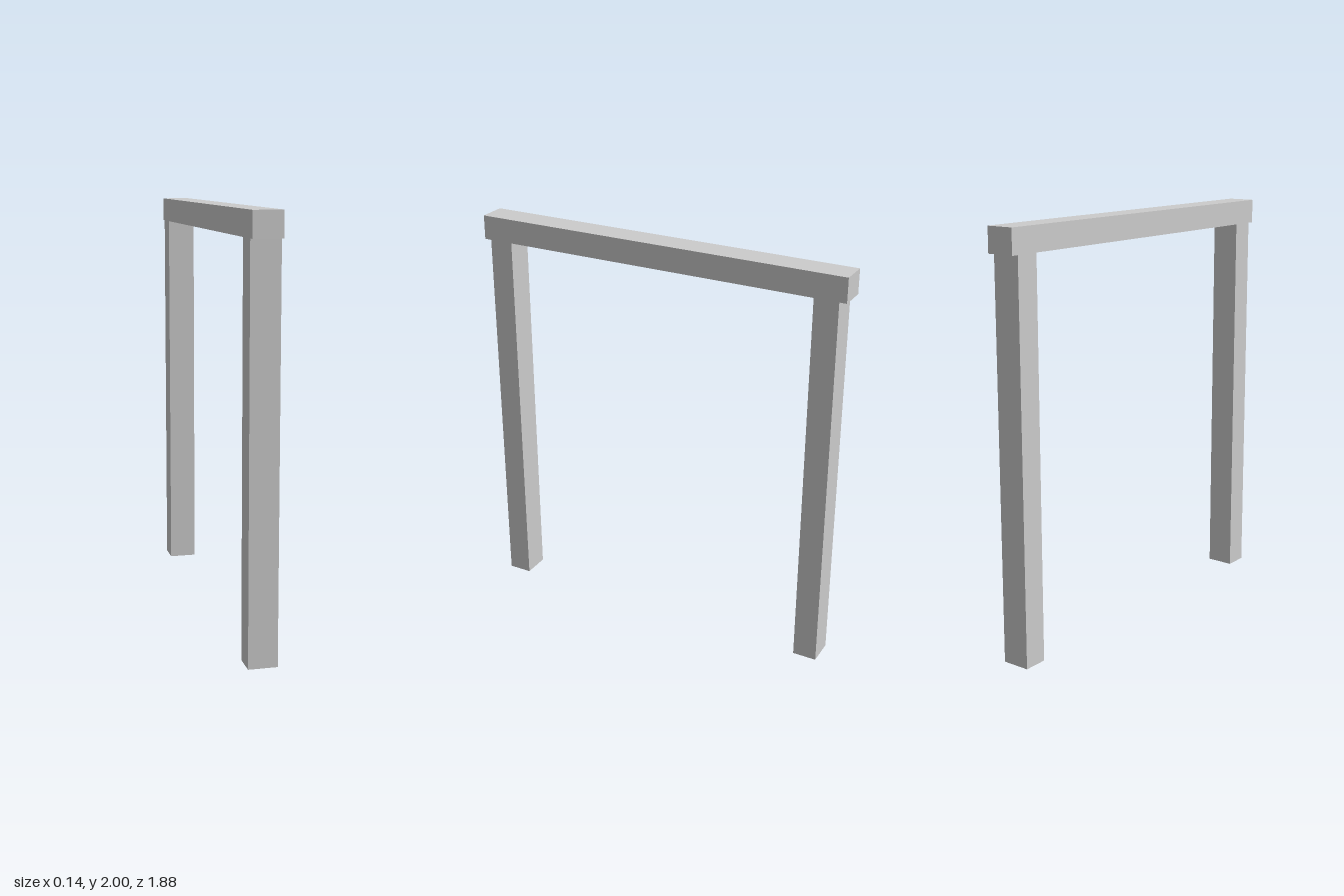
import * as THREE from 'three';

const WIDTH = 0.136;      // shared by beam and posts along x
const HEIGHT = 2;
const BEAM_HEIGHT = 0.118;
const BEAM_LENGTH = 1.88;
const POST_DEPTH = 0.118;
const POST_Z = 0.846;

export function createModel() {
  const model = new THREE.Group();
  model.name = 'postAndBeamFrame';
  const material = new THREE.MeshStandardMaterial({ color: 0xcccccc, flatShading: true });

  const addBox = (name, width, height, depth, y, z) => {
    const mesh = new THREE.Mesh(new THREE.BoxGeometry(width, height, depth), material);
    mesh.name = name;
    mesh.position.set(0, y, z);
    model.add(mesh);
  };

  // Top beam, overhanging the posts slightly at both ends
  addBox('topBeam', WIDTH, BEAM_HEIGHT, BEAM_LENGTH, HEIGHT - BEAM_HEIGHT / 2, 0);

  // Two posts carrying the beam
  const postHeight = HEIGHT - BEAM_HEIGHT;
  for (const [name, side] of [['frontPost', 1], ['backPost', -1]]) {
    addBox(name, WIDTH, postHeight, POST_DEPTH, postHeight / 2, side * POST_Z);
  }

  return model;
}
